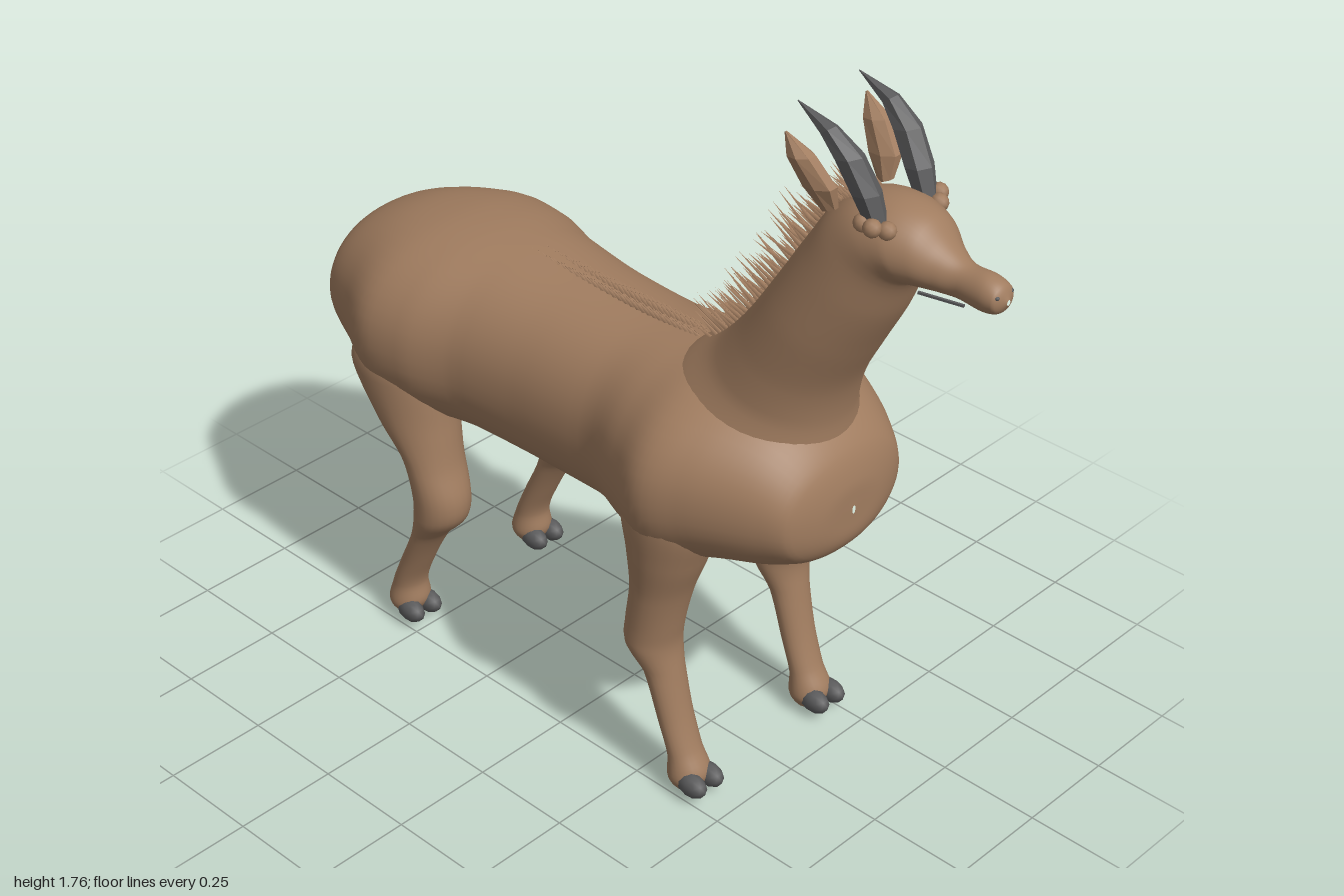
import * as THREE from 'three';
import { mergeGeometries } from 'three/addons/utils/BufferGeometryUtils.js';

const hide = new THREE.MeshStandardMaterial({ color: 0xa07c5f });
hide.name = 'brown hide';
const horn = new THREE.MeshStandardMaterial({ color: 0x5a5a5b });
horn.name = 'grey horn';

// Loft of oval rings. Row: two opposite rim points (ax, ay, bx, by), half width in z, centre z.
function loft(rows, { steps = 6, sides = 32, power = 2, side = 1, flat = false } = {}) {
  const V = (x, y, z = 0) => new THREE.Vector3(x, y, z);
  const curves = [
    rows.map(r => V(r[0], r[1])),
    rows.map(r => V(r[2], r[3])),
    rows.map(r => V(r[4], (r[5] || 0) * side)),
  ].map(p => new THREE.CatmullRomCurve3(p));
  const n = (rows.length - 1) * steps, pos = [], index = [];
  const bend = v => Math.sign(v) * Math.abs(v) ** (2 / power);
  for (let i = 0; i <= n; i++) {
    const [a, b, w] = curves.map(c => c.getPoint(i / n));
    for (let j = 0; j < sides; j++) {
      const t = (j / sides) * Math.PI * 2, c = bend(Math.cos(t)), s = bend(Math.sin(t));
      pos.push((a.x + b.x + (a.x - b.x) * c) / 2, (a.y + b.y + (a.y - b.y) * c) / 2, w.y + w.x * s);
      if (i < n) {
        const p = i * sides + j, q = i * sides + (j + 1) % sides;
        index.push(p, q, p + sides, q, q + sides, p + sides);
      }
    }
  }
  let g = new THREE.BufferGeometry();
  g.setAttribute('position', new THREE.Float32BufferAttribute(pos, 3));
  g.setIndex(index);
  if (flat) g = g.toNonIndexed();
  g.computeVertexNormals();
  return g;
}

// Thin cone from a base point to a tip
function spike(base, tip, r, sides = 4) {
  const a = new THREE.Vector3(...base), d = new THREE.Vector3(...tip).sub(a), len = d.length();
  const g = new THREE.ConeGeometry(r, len, sides).translate(0, len / 2, 0);
  const q = new THREE.Quaternion().setFromUnitVectors(new THREE.Vector3(0, 1, 0), d.normalize());
  return g.applyQuaternion(q).translate(a.x, a.y, a.z);
}

// Faceted lump
function lump(x, y, z, sx, sy, sz) {
  return new THREE.IcosahedronGeometry(1, 1).scale(sx, sy, sz).translate(x, y, z);
}

export function createModel() {
  const model = new THREE.Group();
  model.name = 'antelope';
  const add = (name, geometry, material = hide) => {
    const m = new THREE.Mesh(geometry, material);
    m.name = name;
    model.add(m);
  };
  let seed = 7;
  const rand = () => (seed = (seed * 16807) % 2147483647) / 2147483647;

  // Torso, tail end to chest
  add('torso', loft([
    [-0.898, 0.83, -0.898, 0.81, 0.005],
    [-0.88, 0.9, -0.88, 0.735, 0.1],
    [-0.81, 0.985, -0.81, 0.67, 0.2],
    [-0.7, 1.04, -0.7, 0.63, 0.255],
    [-0.56, 1.068, -0.56, 0.6, 0.315],
    [-0.45, 1.073, -0.45, 0.592, 0.3],
    [-0.33, 1.067, -0.33, 0.588, 0.256],
    [-0.15, 1.05, -0.15, 0.582, 0.235],
    [0.05, 1.042, 0.05, 0.58, 0.232],
    [0.2, 1.05, 0.2, 0.575, 0.285],
    [0.32, 1.06, 0.32, 0.585, 0.333],
    [0.43, 1.05, 0.43, 0.62, 0.295],
    [0.54, 1.01, 0.55, 0.65, 0.235],
    [0.615, 0.94, 0.615, 0.685, 0.185],
    [0.642, 0.87, 0.642, 0.725, 0.1],
    [0.646, 0.81, 0.646, 0.79, 0.005],
  ], { sides: 48, power: 2.15 }));

  // Neck and head in one sweep, shoulders to nose
  add('neckAndHead', loft([
    [0.12, 0.96, 0.58, 0.82, 0.25],
    [0.2, 1.04, 0.595, 0.92, 0.2],
    [0.29, 1.11, 0.598, 1.01, 0.163],
    [0.36, 1.19, 0.62, 1.1, 0.15],
    [0.44, 1.31, 0.675, 1.21, 0.142],
    [0.52, 1.44, 0.735, 1.32, 0.126],
    [0.58, 1.53, 0.77, 1.4, 0.113],
    [0.645, 1.575, 0.785, 1.42, 0.108],
    [0.73, 1.588, 0.8, 1.422, 0.1],
    [0.8, 1.57, 0.825, 1.423, 0.08],
    [0.85, 1.528, 0.855, 1.424, 0.055],
    [0.9, 1.502, 0.9, 1.424, 0.037],
    [0.955, 1.5, 0.955, 1.42, 0.039],
    [0.985, 1.488, 0.985, 1.428, 0.034],
    [1.0, 1.462, 1.0, 1.45, 0.005],
  ], { sides: 40 }));

  // Mane: three rows of bristles along the back of the neck
  const crest = new THREE.CatmullRomCurve3([[0.27, 1.08], [0.36, 1.18], [0.44, 1.3], [0.52, 1.43], [0.58, 1.52], [0.64, 1.565]]
    .map(p => new THREE.Vector3(p[0], p[1], 0)));
  const bristles = [];
  for (const z of [-0.035, 0, 0.035]) {
    for (let i = 0; i < 48; i++) {
      const p = crest.getPoint(i / 47), len = (0.075 + 0.035 * rand()) * (i > 40 ? 0.7 : 1);
      const x = p.x + 0.015, y = p.y - 0.008;
      bristles.push(spike([x, y, z], [x - len, y + len * (0.25 + 0.4 * rand()), z + (rand() - 0.5) * 0.015], 0.008));
    }
  }
  add('mane', mergeGeometries(bristles));

  // Short hair lying along the spine
  const hairs = [];
  for (let i = 0; i < 30; i++) {
    const x = -0.31 + i * 0.0172;
    for (const z of [-0.012, 0.012]) hairs.push(spike([x + 0.03, 1.038, z], [x - 0.015, 1.066, z * 1.3], 0.008));
  }
  add('spineHair', mergeGeometries(hairs));

  for (const side of [1, -1]) {
    const name = side > 0 ? 'Left' : 'Right';
    // Front leg, shoulder to foot
    add('frontLeg' + name, loft([
      [0.38, 0.88, 0.26, 0.88, 0.03, 0.2],
      [0.43, 0.76, 0.2, 0.76, 0.105, 0.21],
      [0.4, 0.64, 0.215, 0.64, 0.092, 0.212],
      [0.362, 0.54, 0.222, 0.54, 0.077, 0.213],
      [0.338, 0.44, 0.208, 0.44, 0.071, 0.214],
      [0.33, 0.38, 0.205, 0.385, 0.07, 0.214],
      [0.34, 0.31, 0.255, 0.31, 0.052, 0.211],
      [0.365, 0.2, 0.295, 0.19, 0.046, 0.209],
      [0.392, 0.12, 0.325, 0.1, 0.045, 0.208],
      [0.422, 0.06, 0.326, 0.045, 0.052, 0.208],
      [0.405, 0.022, 0.348, 0.016, 0.035, 0.208],
      [0.38, 0.003, 0.372, 0.003, 0.003, 0.208],
    ], { side, sides: 24 }));

    // Hind leg, haunch to foot
    add('hindLeg' + name, loft([
      [-0.5, 0.88, -0.62, 0.88, 0.03, 0.19],
      [-0.42, 0.76, -0.7, 0.74, 0.1, 0.2],
      [-0.4, 0.62, -0.61, 0.62, 0.092, 0.205],
      [-0.385, 0.52, -0.52, 0.53, 0.077, 0.21],
      [-0.36, 0.43, -0.495, 0.43, 0.071, 0.212],
      [-0.368, 0.375, -0.498, 0.36, 0.067, 0.212],
      [-0.43, 0.305, -0.517, 0.29, 0.052, 0.211],
      [-0.488, 0.2, -0.565, 0.19, 0.046, 0.209],
      [-0.52, 0.12, -0.6, 0.11, 0.045, 0.208],
      [-0.515, 0.065, -0.614, 0.06, 0.052, 0.208],
      [-0.535, 0.032, -0.595, 0.03, 0.036, 0.208],
      [-0.562, 0.015, -0.57, 0.015, 0.003, 0.208],
    ], { side, sides: 24 }));

    // Cloven hooves, two faceted toes per foot
    for (const [foot, x] of [['front', 0.41], ['hind', -0.53]]) {
      const toes = [0.182, 0.238].map(z => lump(x, 0.048, z * side, 0.042, 0.03, 0.025));
      add(foot + 'Hoof' + name, mergeGeometries(toes), horn);
    }

    // Faceted horn sweeping up and back
    add('horn' + name, loft([
      [0.708, 1.545, 0.755, 1.55, 0.022, 0.075],
      [0.672, 1.61, 0.735, 1.62, 0.031, 0.08],
      [0.63, 1.675, 0.695, 1.69, 0.029, 0.088],
      [0.595, 1.713, 0.63, 1.738, 0.018, 0.093],
      [0.53, 1.758, 0.531, 1.76, 0.001, 0.092],
    ], { side, sides: 6, steps: 1, flat: true }), horn);
    add('hornBase' + name, mergeGeometries([0, 1, 2, 3, 4].map(k => {
      const t = k * Math.PI * 0.4;
      return lump(0.73 + 0.028 * Math.cos(t), 1.552 + 0.008 * Math.sin(t), (0.08 + 0.024 * Math.sin(t)) * side, 0.02, 0.02, 0.02);
    })));

    // Pointed ear behind the horn
    add('ear' + name, loft([
      [0.6, 1.54, 0.635, 1.555, 0.014, 0.085],
      [0.558, 1.595, 0.64, 1.605, 0.026, 0.1],
      [0.53, 1.655, 0.595, 1.665, 0.025, 0.115],
      [0.525, 1.7, 0.53, 1.703, 0.002, 0.122],
    ], { side, sides: 7, steps: 1, flat: true }));

    // Mouth corner and nostril
    add('mouthLine' + name, new THREE.BoxGeometry(0.1, 0.005, 0.006).rotateY(side * 0.22).translate(0.865, 1.424, 0.036 * side), horn);
    add('nostril' + name, lump(0.987, 1.47, 0.022 * side, 0.006, 0.005, 0.006), horn);
  }

  // Tail with a tuft of spikes
  add('tail', loft([
    [-0.84, 0.765, -0.87, 0.79, 0.018],
    [-0.88, 0.71, -0.9, 0.725, 0.014],
    [-0.915, 0.664, -0.93, 0.677, 0.012],
  ], { sides: 10 }));
  const tuft = [[0, 0], [0.025, 0.01], [-0.025, 0.01], [0.012, -0.008], [-0.012, 0.022]].map(([z, dx]) =>
    spike([-0.905, 0.69, z * 0.4], [-1 + Math.max(dx, 0), 0.6 + Math.abs(z) * 0.6, z], 0.016, 5));
  add('tailTuft', mergeGeometries(tuft));

  return model;
}
